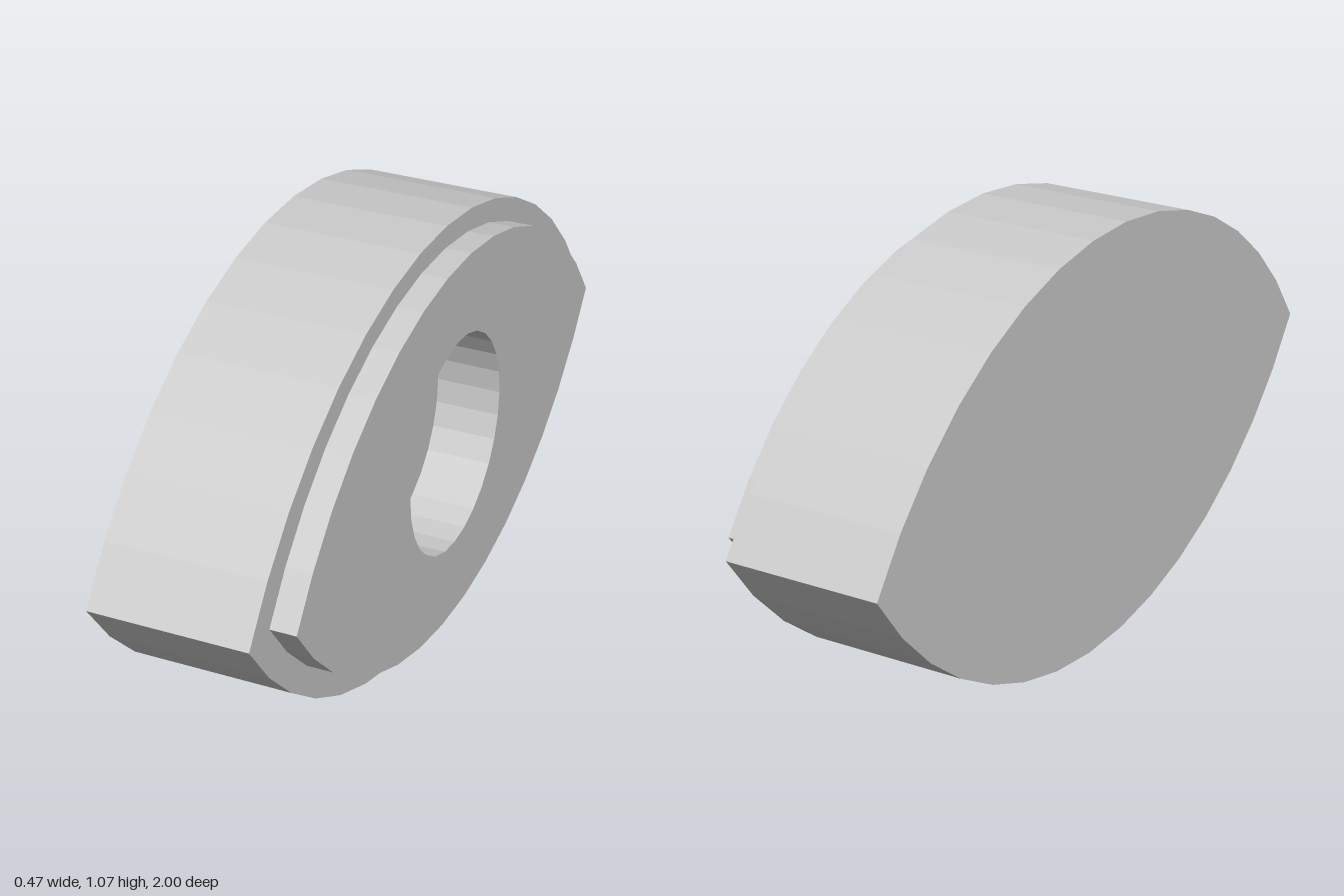
import * as THREE from 'three';

const CENTER_Y = 0.54;
const material = new THREE.MeshStandardMaterial({ color: 0xcccccc, flatShading: true });

// Pointed oval made of two mirrored circular arcs, counter-clockwise
function lens(halfLength, halfHeight, segments = 15) {
  const radius = (halfLength ** 2 + halfHeight ** 2) / (2 * halfHeight);
  const sweep = Math.asin(halfLength / radius);
  const upper = [];
  for (let i = 0; i < segments; i++) {
    const a = sweep - (2 * sweep * i) / segments;
    upper.push(new THREE.Vector2(radius * Math.sin(a), radius * Math.cos(a) - radius + halfHeight));
  }
  return [...upper, ...upper.map((p) => new THREE.Vector2(-p.x, -p.y))];
}

function circle(radius, sides = 28) {
  return Array.from({ length: sides }, (_, i) => {
    const a = (i / sides) * Math.PI * 2;
    return new THREE.Vector2(radius * Math.cos(a), radius * Math.sin(a));
  });
}

// Open wall along an outline; a reversed outline faces inwards
function wall(outline, z0, z1) {
  const positions = [];
  outline.forEach((p, i) => {
    const q = outline[(i + 1) % outline.length];
    positions.push(p.x, p.y, z0, q.x, q.y, z0, q.x, q.y, z1);
    positions.push(p.x, p.y, z0, q.x, q.y, z1, p.x, p.y, z1);
  });
  const geometry = new THREE.BufferGeometry();
  geometry.setAttribute('position', new THREE.Float32BufferAttribute(positions, 3));
  geometry.computeVertexNormals();
  return geometry;
}

// Flat face with an optional opening
function face(outline, z, opening) {
  const shape = new THREE.Shape(outline);
  if (opening) shape.holes.push(new THREE.Path(opening));
  return new THREE.ShapeGeometry(shape).translate(0, 0, z);
}

export function createModel() {
  const group = new THREE.Group();
  group.name = 'lensShapedBlock';
  const add = (name, geometry) => {
    const mesh = new THREE.Mesh(geometry, material);
    mesh.name = name;
    group.add(mesh);
  };

  // Levels along the thickness
  const back = -0.234, floor = -0.035, shoulder = 0.065, step = 0.165, front = 0.231;
  const body = lens(1, 0.54);
  const plate = lens(0.9, 0.485);
  const wide = circle(0.28);
  const narrow = circle(0.155);

  // Main block
  add('bodyWall', wall(body, back, step));
  add('bodyBack', face(body, 0, null).rotateY(Math.PI).translate(0, 0, back));
  add('bodyRim', face(body, step, plate));

  // Raised plate
  add('plateWall', wall(plate, step, front));
  add('plateFace', face(plate, front, wide));

  // Stepped round recess
  add('recessWall', wall([...wide].reverse(), shoulder, front));
  add('recessShoulder', face(wide, shoulder, narrow));
  add('boreWall', wall([...narrow].reverse(), floor, shoulder));
  add('boreFloor', face(narrow, floor));

  // The plate faces the model's left
  group.rotation.y = Math.PI / 2;
  group.position.y = CENTER_Y;

  const model = new THREE.Group();
  model.name = 'model';
  model.add(group);
  return model;
}
